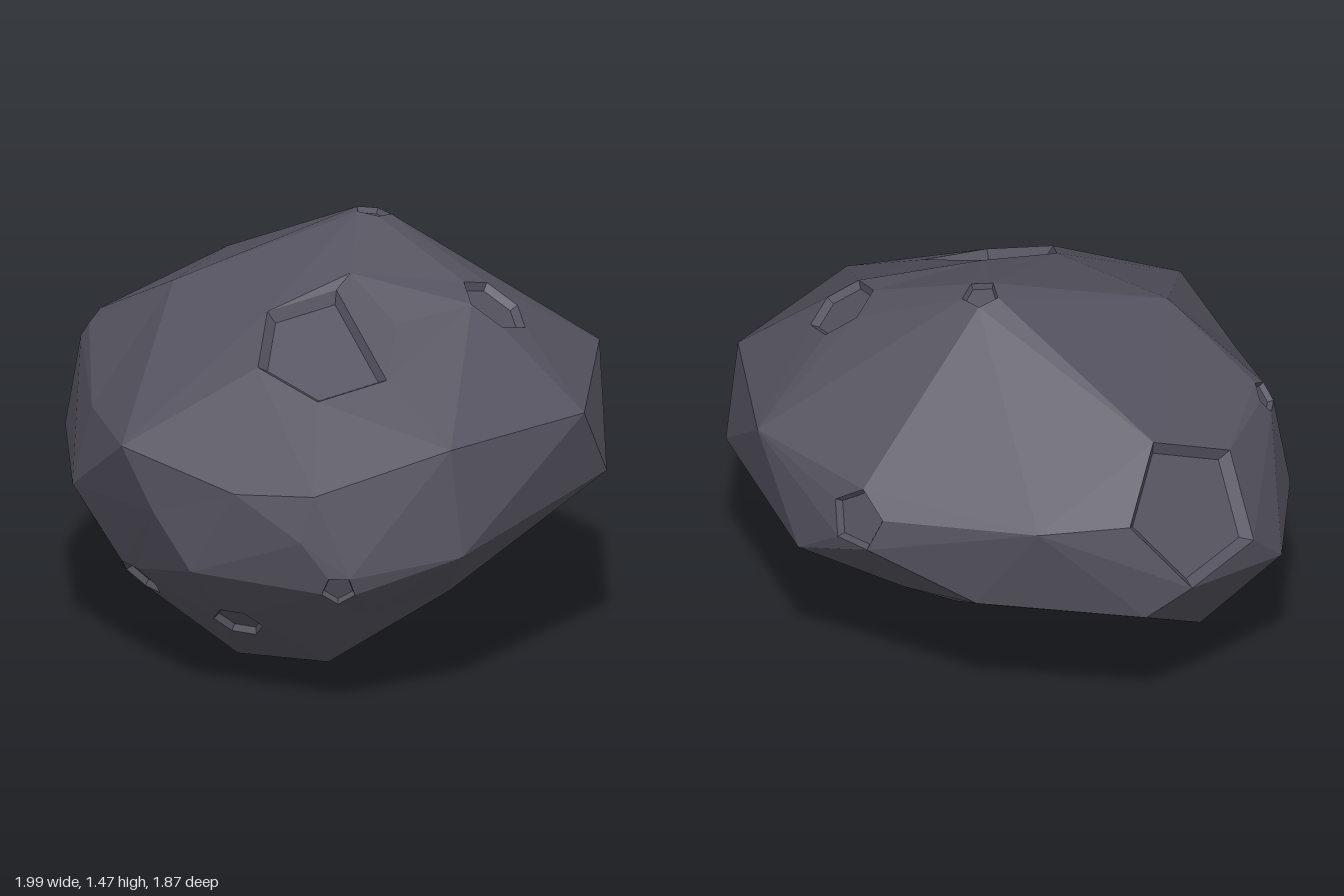
import * as THREE from 'three';
import { ConvexGeometry } from 'three/addons/geometries/ConvexGeometry.js';

const CENTRE = new THREE.Vector3(0, 0.72, 0);
const HALF_SIZE = new THREE.Vector3(1, 0.73, 0.93);

// Main corners of the rock
const UPPER = [
  [0.23, 1.36, 0.04], [-0.32, 1.26, 0.36], [0.94, 0.95, 0.2], [0.95, 0.95, -0.39],
  [0.53, 1.0, -0.82], [-0.58, 0.96, -0.69],
];
const MIDDLE = [
  [0.07, 0.9, 0.93], [0.52, 0.82, 0.81], [0.76, 0.84, 0.66], [0.75, 0.68, 0.71], [0.36, 0.51, 0.87],
  [0.2, 0.69, 0.9], [-0.34, 0.88, 0.71], [-0.36, 0.61, 0.78], [-0.77, 0.64, 0.46], [-0.99, 0.61, 0.13],
  [1.0, 0.58, 0.2], [0.87, 0.68, -0.56], [0.3, 0.65, -0.89], [-0.36, 0.62, -0.75], [-0.85, 0.6, -0.44],
];
const LOWER = [
  [-0.05, 0, 0.3], [0.2, 0.09, 0.52], [0.51, 0.11, 0.38], [0.75, 0.36, 0.41], [0.7, 0.33, 0],
  [0.45, 0.49, -0.4], [0.2, 0.2, -0.02], [-0.27, 0.2, -0.07], [-0.78, 0.34, -0.05], [-0.62, 0.27, 0.32],
];

// Regular crater rim lying on the rock; spin turns its first corner away from uphill
function makeCrater(name, centre, radius, sides, spin, facing) {
  const mid = new THREE.Vector3(...centre);
  const normal = facing
    ? new THREE.Vector3(...facing)
    : mid.clone().sub(CENTRE).divide(HALF_SIZE).divide(HALF_SIZE);
  normal.normalize();
  const uphill = new THREE.Vector3(0, 1, 0).projectOnPlane(normal).normalize();
  const rim = [];
  for (let i = 0; i < sides; i++) {
    const angle = spin + (i / sides) * Math.PI * 2;
    rim.push(uphill.clone().applyAxisAngle(normal, angle).multiplyScalar(radius).add(mid));
  }
  return { name, mid, normal, rim, depth: 0.015 + 0.08 * radius };
}

// Triangulates the corners as a shell around the centre, so shallow hollows are kept
function shellTriangles(corners) {
  const proxies = corners.map((c) => {
    const p = c.pos.clone().sub(CENTRE);
    return p.lerp(p.clone().normalize(), 0.4);
  });
  const hull = new ConvexGeometry(proxies).getAttribute('position');
  const v = new THREE.Vector3();
  const found = [];
  for (let i = 0; i < hull.count; i++) {
    v.fromBufferAttribute(hull, i);
    let best = 0;
    proxies.forEach((p, k) => {
      if (p.distanceToSquared(v) < proxies[best].distanceToSquared(v)) best = k;
    });
    found.push(corners[best]);
  }
  const tris = [];
  for (let i = 0; i < found.length; i += 3) tris.push(found.slice(i, i + 3));
  return tris;
}

function facetMesh(name, points, material) {
  const geometry = new THREE.BufferGeometry().setFromPoints(points);
  geometry.computeVertexNormals();
  const mesh = new THREE.Mesh(geometry, material);
  mesh.name = name;
  return mesh;
}

// Sinks a patch of the shell: a smaller floor plus walls along the open edges
function craterPoints(tris, { mid, normal, depth }) {
  const sunk = (c) => c.pos.clone().lerp(mid, 0.14).addScaledVector(normal, -depth);
  const points = tris.flat().map(sunk);
  const edges = tris.flatMap(([a, b, c]) => [[a, b], [b, c], [c, a]]);
  for (const [a, b] of edges) {
    if (edges.some(([p, q]) => p === b && q === a)) continue;
    points.push(a.pos, b.pos, sunk(b), a.pos, sunk(b), sunk(a));
  }
  return points;
}

export function createModel() {
  const group = new THREE.Group();
  group.name = 'asteroid';
  const rock = new THREE.MeshStandardMaterial({ color: 0x55535f });
  rock.name = 'darkRock';

  const craters = [
    makeCrater('summitCrater', [0.02, 1.46, -0.24], 0.065, 5, 0),
    makeCrater('upperLeftCrater', [0.54, 1.24, -0.34], 0.13, 6, 0),
    makeCrater('largeTopCrater', [0.375, 1.19, 0.27], 0.255, 6, -0.14),
    makeCrater('leftFrontCrater', [0.83, 0.51, 0.61], 0.06, 5, 0.6),
    makeCrater('backCrater', [0.03, 0.89, -0.91], 0.11, 5, 0),
    makeCrater('largeSideCrater', [-0.86, 0.92, -0.2], 0.27, 5, 0.14, [-0.82, 0.56, -0.12]),
    makeCrater('rightCrater', [-0.715, 1.01, 0.39], 0.06, 5, 0),
    makeCrater('bottomCrater', [-0.03, 0.385, -0.485], 0.19, 6, 0.5, [-0.1, -0.87, -0.48]),
    makeCrater('frontRightCrater', [-0.09, 0.33, 0.705], 0.085, 6, 0.5),
    makeCrater('frontLeftCrater', [0.365, 0.28, 0.66], 0.09, 6, 0.5),
  ];

  const corners = [...UPPER, ...MIDDLE, ...LOWER].map((p) => ({ pos: new THREE.Vector3(...p), crater: null }));
  for (const crater of craters) corners.push(...crater.rim.map((pos) => ({ pos, crater })));

  const tris = shellTriangles(corners);
  const craterOf = ([a, b, c]) => (a.crater === b.crater && b.crater === c.crater ? a.crater : null);

  // Faceted body without the crater patches
  const body = tris.filter((t) => !craterOf(t)).flat().map((c) => c.pos);
  group.add(facetMesh('rockBody', body, rock));

  // Craters
  for (const crater of craters) {
    const patch = tris.filter((t) => craterOf(t) === crater);
    group.add(facetMesh(crater.name, craterPoints(patch, crater), rock));
  }
  return group;
}
